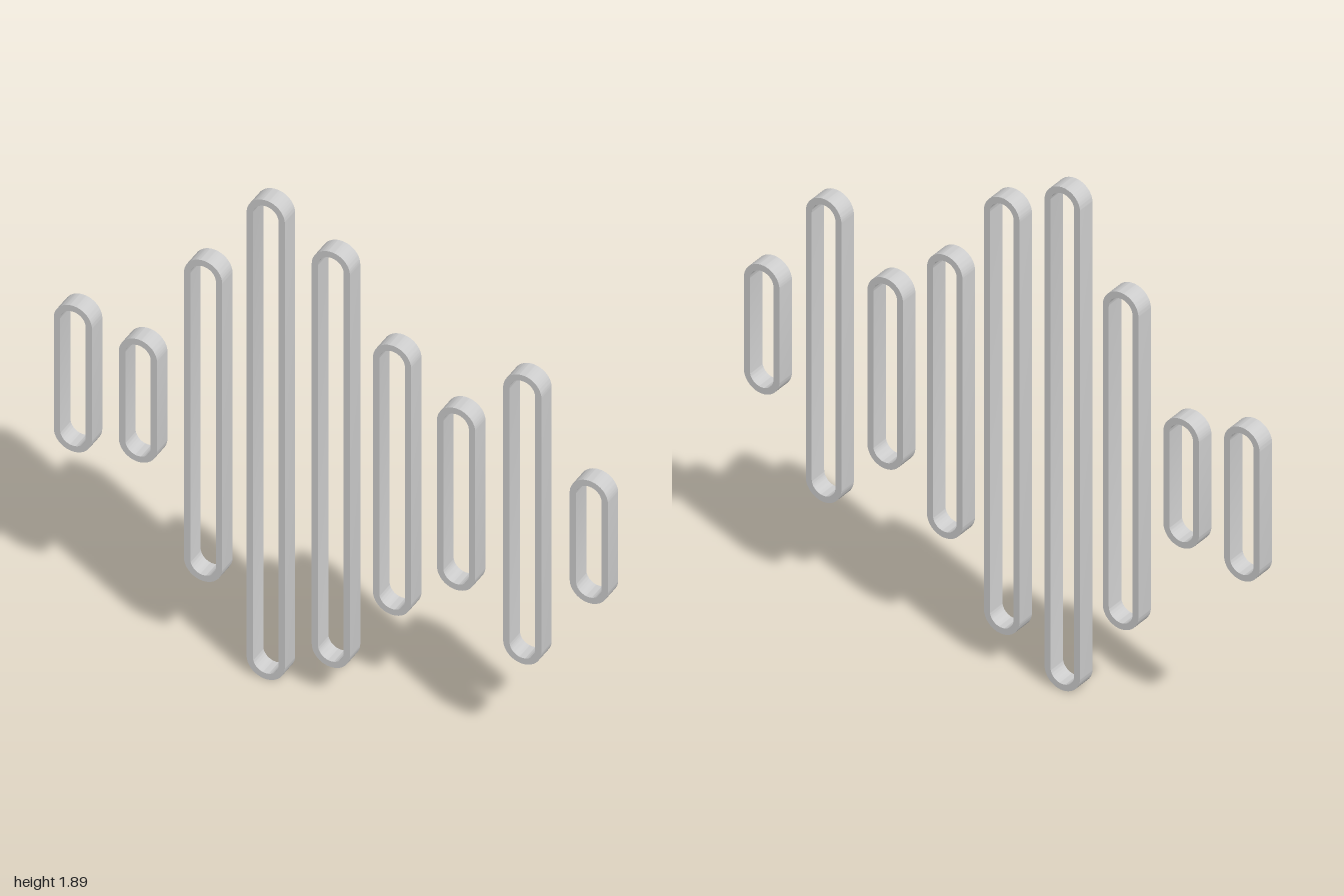
import * as THREE from 'three';
import { toCreasedNormals } from 'three/addons/utils/BufferGeometryUtils.js';

const RADIUS = 0.069, WALL = 0.023, DEPTH = 0.07;

// Upright stadium outline: straight sides with half-round ends
function stadium(path, r, bottom, top) {
  path.moveTo(r, bottom);
  path.lineTo(r, top);
  path.absarc(0, top, r, 0, Math.PI, false);
  path.lineTo(-r, bottom);
  path.absarc(0, bottom, r, Math.PI, Math.PI * 2, false);
  return path;
}

// Hollow loop standing between heights y0 and y1
function loopGeometry(y0, y1) {
  const bottom = y0 + RADIUS, top = y1 - RADIUS;
  const shape = stadium(new THREE.Shape(), RADIUS, bottom, top);
  shape.holes.push(stadium(new THREE.Path(), RADIUS - WALL, bottom, top));
  const geo = new THREE.ExtrudeGeometry(shape, { depth: DEPTH, bevelEnabled: false, curveSegments: 24 });
  geo.translate(0, 0, -DEPTH / 2);
  return toCreasedNormals(geo, 0.6);
}

export function createModel() {
  const group = new THREE.Group();
  group.name = 'soundWave';
  const material = new THREE.MeshStandardMaterial({ color: 0xcccccc });

  // Centre x, lowest y, highest y of each loop
  const loops = [
    [-0.931, 0.66, 1.235], [-0.696, 0.70, 1.183], [-0.461, 0.31, 1.575],
    [-0.235, 0, 1.89], [0, 0.128, 1.767], [0.221, 0.41, 1.473],
    [0.452, 0.588, 1.304], [0.691, 0.378, 1.517], [0.931, 0.70, 1.183],
  ];
  loops.forEach(([x, y0, y1], i) => {
    const mesh = new THREE.Mesh(loopGeometry(y0, y1), material);
    mesh.name = `waveLoop${i + 1}`;
    mesh.position.x = x;
    group.add(mesh);
  });
  return group;
}
